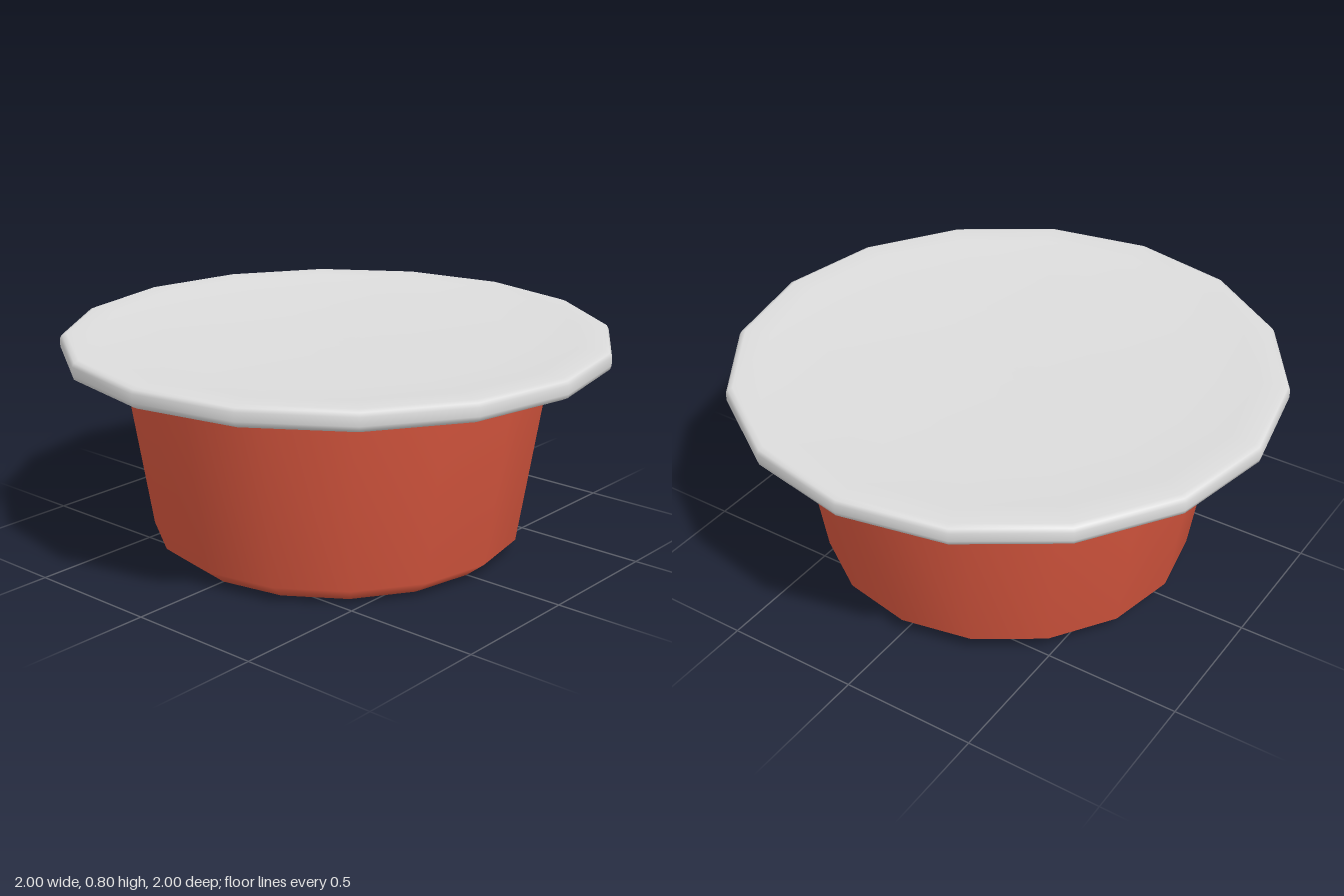
import * as THREE from 'three';

const SIDES = 16;

// Smooth-shaded turned part from [radius, height] pairs, listed bottom to top
function turned(name, profile, material) {
  const points = profile.map(([r, y]) => new THREE.Vector2(r, y));
  const mesh = new THREE.Mesh(new THREE.LatheGeometry(points, SIDES), material);
  mesh.name = name;
  return mesh;
}

export function createModel() {
  const red = new THREE.MeshStandardMaterial({ color: 0xd9573f });
  red.name = 'terracotta red';
  const white = new THREE.MeshStandardMaterial({ color: 0xdcdcdc });
  white.name = 'light grey';

  const group = new THREE.Group();
  group.name = 'lidded tub';

  // Tapered tub with a bevelled foot
  group.add(turned('tub', [
    [0, 0], [0.61, 0], [0.685, 0.06], [0.79, 0.74],
  ], red));

  // Wide lid with a rounded rim and a shallow dished top
  group.add(turned('lid', [
    [0, 0.725], [0.78, 0.725], [0.975, 0.725], [0.995, 0.735], [1, 0.75],
    [1, 0.78], [0.992, 0.793], [0.975, 0.8], [0.88, 0.797], [0.66, 0.775], [0, 0.77],
  ], white));

  return group;
}
